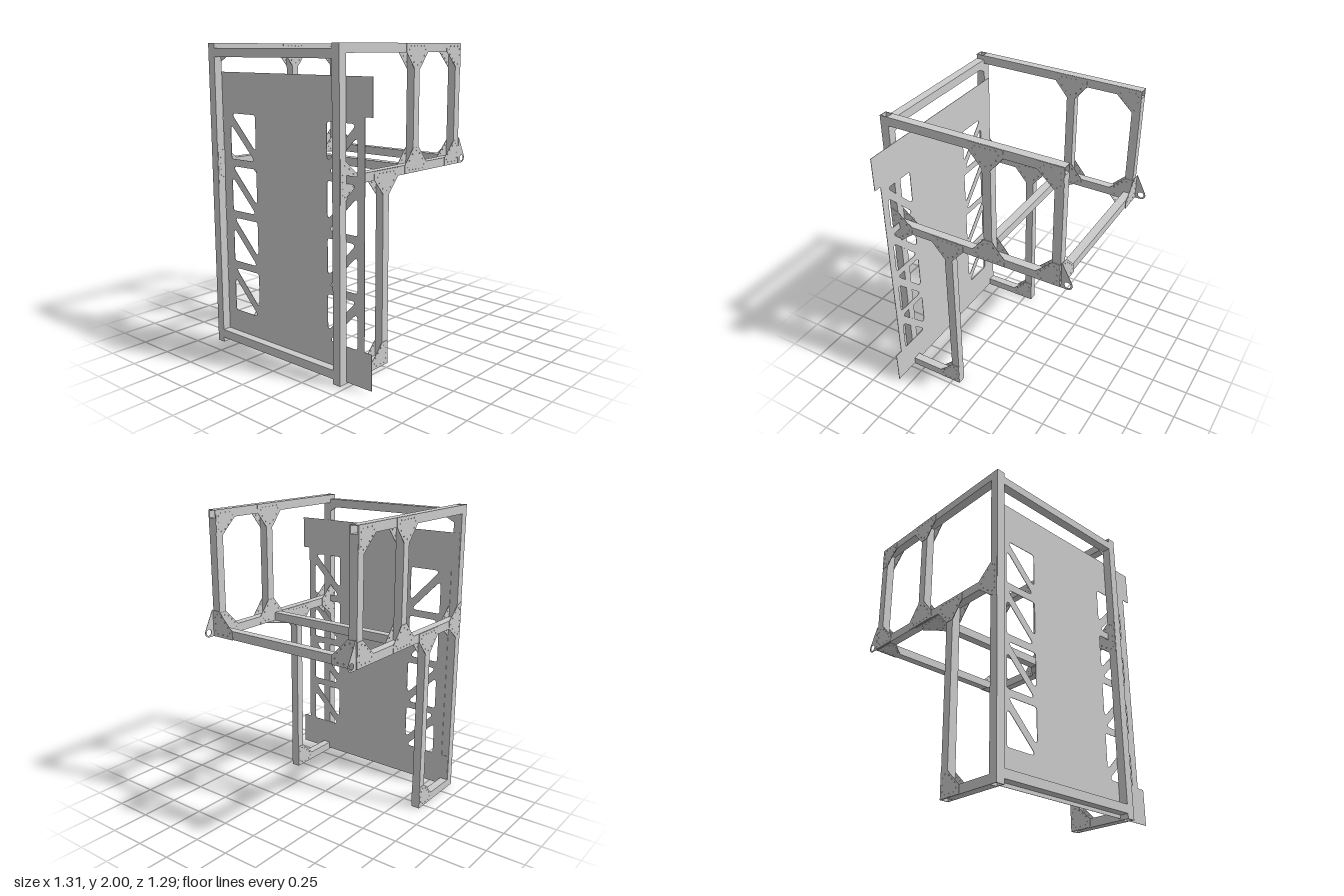
import * as THREE from 'three';

const CX = -0.095;   // middle of the tube frame
const X = 0.53;      // side frame offset from that middle
const H = 0.028;     // half width of the square tube
const T = 0.003;     // sheet thickness
const mat = new THREE.MeshStandardMaterial({ color: 0xcccccc, flatShading: true, side: THREE.DoubleSide });
const vec = (pts) => pts.map(([a, b]) => new THREE.Vector2(a, b));

function add(parent, geo, name, x = 0, y = 0, z = 0) {
  const m = new THREE.Mesh(geo, mat);
  m.name = name;
  m.position.set(x, y, z);
  parent.add(m);
  return m;
}

// Hollow square tube along one axis, starting at p
function tube(parent, name, axis, length, x, y, z) {
  const sq = (h) => vec([[-h, -h], [h, -h], [h, h], [-h, h]]);
  const s = new THREE.Shape(sq(H));
  s.holes.push(new THREE.Path(sq(H - 0.005)));
  const g = new THREE.ExtrudeGeometry(s, { depth: length, bevelEnabled: false });
  if (axis === 'x') g.rotateY(Math.PI / 2);
  if (axis === 'y') g.rotateX(-Math.PI / 2);
  return add(parent, g, name, x, y, z);
}

function circle(x, y, r, n = 6) {
  const p = [];
  for (let i = 0; i < n; i++) p.push([x + r * Math.cos(i / n * 2 * Math.PI), y + r * Math.sin(i / n * 2 * Math.PI)]);
  return new THREE.Path(vec(p));
}

// Thin sheet; rivet holes follow the outline, moved in towards the middle
function sheet(pts, holes = [], rivets = true) {
  const s = new THREE.Shape(vec(pts));
  s.holes.push(...holes);
  if (rivets) {
    const mx = pts.reduce((a, p) => a + p[0], 0) / pts.length;
    const my = pts.reduce((a, p) => a + p[1], 0) / pts.length;
    pts.forEach((p, i) => {
      const q = pts[(i + 1) % pts.length];
      const n = Math.floor(Math.hypot(q[0] - p[0], q[1] - p[1]) / 0.045);
      for (let k = 0; k < n; k++) {
        const t = (k + 0.5) / n;
        const x = p[0] + (q[0] - p[0]) * t, y = p[1] + (q[1] - p[1]) * t;
        s.holes.push(circle(mx + (x - mx) * 0.75, my + (y - my) * 0.75, 0.004));
      }
    });
  }
  const g = new THREE.ExtrudeGeometry(s, { depth: T, bevelEnabled: false });
  return g.translate(0, 0, -T / 2);
}
const sideSheet = (pts, holes, rivets) => sheet(pts, holes, rivets).rotateY(-Math.PI / 2); // points are z, y
const flatSheet = (pts) => sheet(pts).rotateX(Math.PI / 2);                                // points are x, z

// Triangle cut-out with a right angle at the first corner and rounded corners
function roundTriangle(pts, r = 0.02) {
  const v = vec(pts), path = new THREE.Path();
  v.forEach((c, i) => {
    const cut = i === 0 ? r : r * 2.3;
    const a = v[(i + 2) % 3].clone().sub(c).setLength(cut).add(c);
    const b = v[(i + 1) % 3].clone().sub(c).setLength(cut).add(c);
    if (i === 0) path.moveTo(a.x, a.y); else path.lineTo(a.x, a.y);
    path.quadraticCurveTo(c.x, c.y, b.x, b.y);
  });
  path.closePath();
  return path;
}

// Side gusset outlines as z, y
const sideGussets = {
  frontPostGusset: [[0.64, 1.36], [0.588, 1.34], [0.487, 1.256], [0.487, 1.2], [0.588, 1.12], [0.64, 1.1]],
  legTopGusset: [[0.335, 1.253], [0.335, 1.2], [0.248, 1.1], [0.193, 1.1], [0.105, 1.2], [0.105, 1.253]],
  footGusset: [[0.35, 0.002], [0.35, 0.056], [0.248, 0.157], [0.193, 0.157], [0.193, 0.002]],
  midPostLowerGusset: [[0.035, 1.202], [0.035, 1.256], [-0.05, 1.357], [-0.107, 1.357], [-0.19, 1.256], [-0.19, 1.202]],
  midPostUpperGusset: [[0.035, 1.998], [0.035, 1.945], [-0.05, 1.845], [-0.107, 1.845], [-0.19, 1.945], [-0.19, 1.998]],
  rearTopGusset: [[-0.4, 1.998], [-0.4, 1.945], [-0.508, 1.845], [-0.562, 1.845], [-0.562, 1.998]],
  rearLowerGusset: [[-0.4, 1.202], [-0.4, 1.256], [-0.508, 1.36], [-0.562, 1.36], [-0.562, 1.202]],
};

function sideFrame(s) {
  const g = new THREE.Group();
  g.name = s > 0 ? 'leftSideFrame' : 'rightSideFrame';
  const x = s * X;
  tube(g, 'frontPost', 'y', 2, x, 0, 0.615);
  tube(g, 'topRail', 'z', 1.15, x, 1.972, -0.563);
  tube(g, 'lowerRail', 'z', 1.15, x, 1.228, -0.563);
  tube(g, 'rearPost', 'y', 0.688, x, 1.256, -0.535);
  tube(g, 'midPost', 'y', 0.688, x, 1.256, -0.078);
  tube(g, 'leg', 'y', 1.2, x, 0, 0.22);
  tube(g, 'footRail', 'z', 0.339, x, 0.028, 0.248);
  // Gussets on the outer and inner faces
  for (const [name, pts] of Object.entries(sideGussets))
    for (const off of [-H - T / 2, H + T / 2]) add(g, sideSheet(pts), name, x + off);
  // Horizontal gussets under the cross beams
  const flip = (pts) => pts.map(([a, b]) => [a * s, b]);
  add(g, flatSheet(flip([[0.55, 0.1], [0.502, 0.095], [0.4, 0.012], [0.4, -0.043], [0.502, -0.127], [0.55, -0.13]])), 'midBeamGusset', 0, 1.199);
  add(g, flatSheet(flip([[0.55, -0.56], [0.4, -0.56], [0.4, -0.51], [0.502, -0.41], [0.55, -0.41]])), 'rearBeamGusset', 0, 1.199);
  // Small corner gusset below the front top beam
  add(g, sheet(flip([[0.502, 1.968], [0.445, 1.968], [0.445, 1.915], [0.502, 1.885]]), [], false), 'frontTopGusset', 0, 0, 0.589);
  // Bent rear bracket with an eye
  add(g, sheet(flip([[0.555, 1.37], [0.502, 1.37], [0.39, 1.256], [0.39, 1.2], [0.555, 1.2]])), 'rearBracketPlate', 0, 0, -0.57);
  const eye = circle(-0.612, 1.231, 0.021, 16);
  const lug = [[-0.569, 1.375], [-0.577, 1.37], [-0.641, 1.247], [-0.645, 1.23], [-0.638, 1.212], [-0.625, 1.202], [-0.612, 1.2], [-0.569, 1.2]];
  add(g, sideSheet(lug, [eye], false), 'rearBracketLug', s * 0.5565);
  return g;
}

function frontPlate() {
  const outline = [[-0.65, 0.01], [0.655, 0.01], [0.655, 0.237], [0.6, 0.237], [0.6, 1.6], [0.655, 1.6],
    [0.655, 1.82], [-0.65, 1.82], [-0.65, 1.6], [-0.598, 1.6], [-0.598, 0.237], [-0.65, 0.237]];
  const holes = [];
  for (const s of [-1, 1])
    for (let i = 0; i < 4; i++) {
      const y = 0.235 + i * 0.343;
      const P = (a, b) => [0.011 + s * a, y + b];
      holes.push(roundTriangle([P(0.303, 0.295), P(0.303, 0.06), P(0.53, 0.295)]));
      holes.push(roundTriangle([P(0.536, 0), P(0.536, 0.228), P(0.312, 0)]));
    }
  return sheet(outline, holes, false);
}

export function createModel() {
  const model = new THREE.Group();
  model.name = 'tubeFrameWithPlate';
  const frame = new THREE.Group();
  frame.name = 'frame';
  frame.position.x = CX;
  model.add(frame);
  for (const s of [-1, 1]) frame.add(sideFrame(s));
  // Cross beams between the side frames
  const beams = { frontTopBeam: [1.942, 0.615], frontBottomBeam: [0.06, 0.615], midBeam: [1.228, -0.015], rearBeam: [1.228, -0.535] };
  for (const [name, [y, z]] of Object.entries(beams)) tube(frame, name, 'x', 2 * (X - H), H - X, y, z);
  // Perforated plate just behind the front posts
  add(model, frontPlate(), 'frontPlate', 0, 0, 0.584);
  return model;
}
